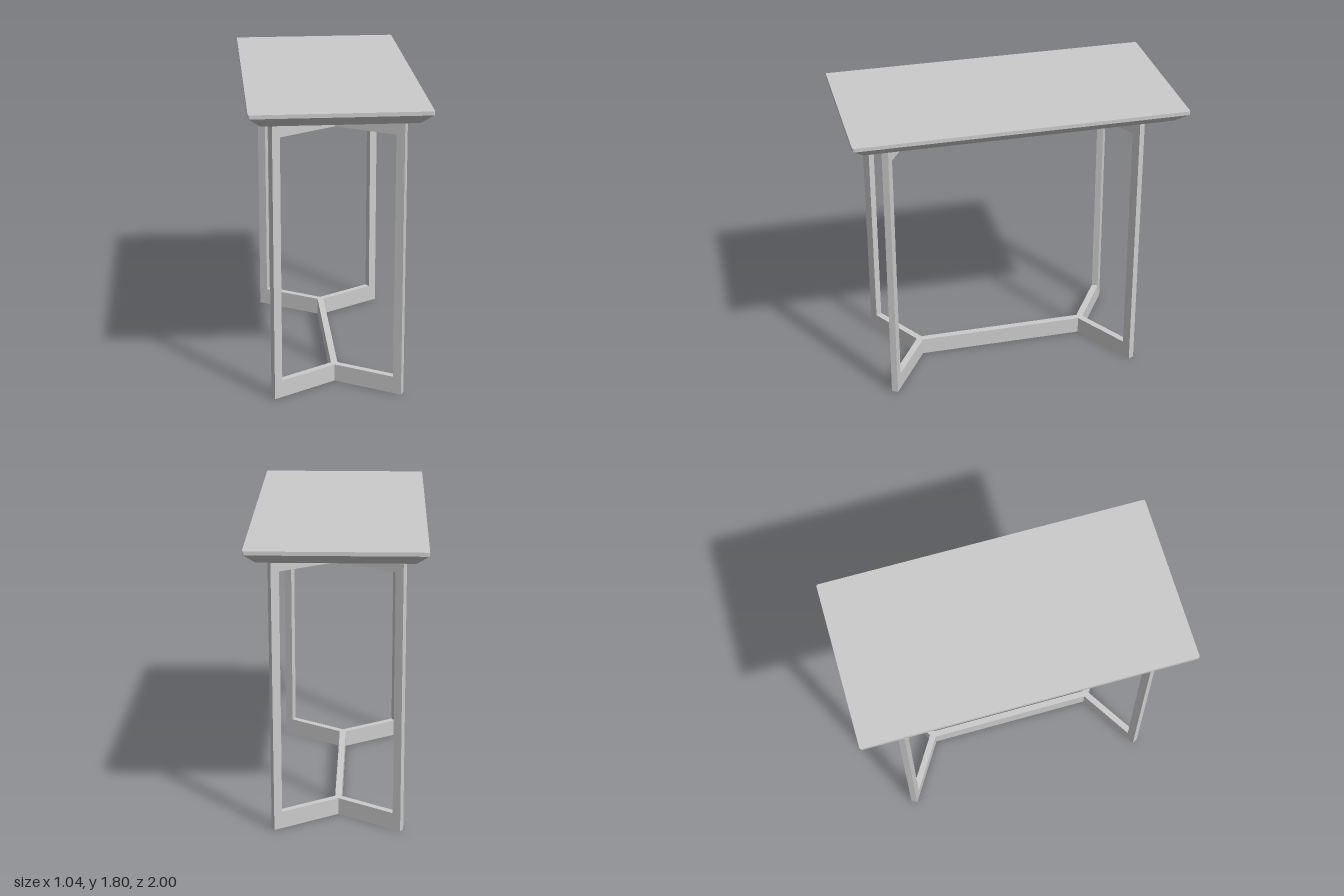
import * as THREE from 'three';

const material = new THREE.MeshStandardMaterial({ color: 0xcccccc, flatShading: true });

// Extrude a plan outline (x, z) upward between two heights
function prism(shape, y0, y1) {
  const geo = new THREE.ExtrudeGeometry(shape, { depth: y1 - y0, bevelEnabled: false, curveSegments: 4 });
  return geo.rotateX(-Math.PI / 2).translate(0, y0, 0);
}

function addMesh(parent, name, geo) {
  const mesh = new THREE.Mesh(geo, material);
  mesh.name = name;
  parent.add(mesh);
  return mesh;
}

const outline = (points) => new THREE.Shape(points.map(([x, z]) => new THREE.Vector2(x, z)));

function roundedRect(w, d, r) {
  const s = new THREE.Shape();
  s.absarc(w - r, d - r, r, 0, Math.PI / 2);
  s.absarc(-w + r, d - r, r, Math.PI / 2, Math.PI);
  s.absarc(-w + r, -d + r, r, Math.PI, Math.PI * 1.5);
  s.absarc(w - r, -d + r, r, Math.PI * 1.5, Math.PI * 2);
  s.closePath();
  return s;
}

export function createModel() {
  const group = new THREE.Group();
  const W = 0.519, D = 1, inset = 0.067;
  const yTop = 1.803, yEdge = 1.78, yUnder = 1.72, rail = 0.107;

  // Table top: thin straight edge over an undercut chamfer
  const top = new THREE.Group();
  top.name = 'tableTop';
  group.add(top);
  const plan = roundedRect(W, D, 0.012);
  addMesh(top, 'topSlab', prism(plan, yEdge, yTop));
  const chamfer = prism(plan, yUnder, yEdge);
  const pos = chamfer.attributes.position;
  for (let i = 0; i < pos.count; i++) {
    if (pos.getY(i) > yUnder + 0.01) continue;
    pos.setX(i, pos.getX(i) * (1 - inset / W));
    pos.setZ(i, pos.getZ(i) * (1 - inset / D));
  }
  chamfer.computeVertexNormals();
  addMesh(top, 'topChamfer', chamfer);

  // Frame: rails forked at both ends, with a leg at each tip
  const frame = new THREE.Group();
  frame.name = 'frame';
  frame.position.z = 0.022;
  group.add(frame);

  const inner = [0.02, 0.522];      // fork meets the beam side
  const crotch = [0, 0.557];        // outer point of the fork
  const tipIn = [0.397, 0.757], tipOut = [0.378, 0.792];
  const flip = ([x, z], sx, sz) => [x * sx, z * sz];

  const railShape = outline([
    flip(inner, 1, -1), inner, tipIn, tipOut, crotch,
    flip(tipOut, -1, 1), flip(tipIn, -1, 1), flip(inner, -1, 1),
    flip(inner, -1, -1), flip(tipIn, -1, -1), flip(tipOut, -1, -1),
    flip(crotch, 1, -1), flip(tipOut, 1, -1), flip(tipIn, 1, -1),
  ]);
  addMesh(frame, 'bottomRail', prism(railShape, 0, rail));
  addMesh(frame, 'topRail', prism(railShape, yUnder - rail, yUnder));

  // Legs follow the fork direction
  const back = ([x, z]) => [x - 0.046, z - 0.0288];
  for (const sx of [1, -1]) for (const sz of [1, -1]) {
    const corners = [tipIn, tipOut, back(tipOut), back(tipIn)].map((p) => flip(p, sx, sz));
    addMesh(frame, 'leg', prism(outline(corners), rail, yUnder - rail));
  }
  return group;
}
